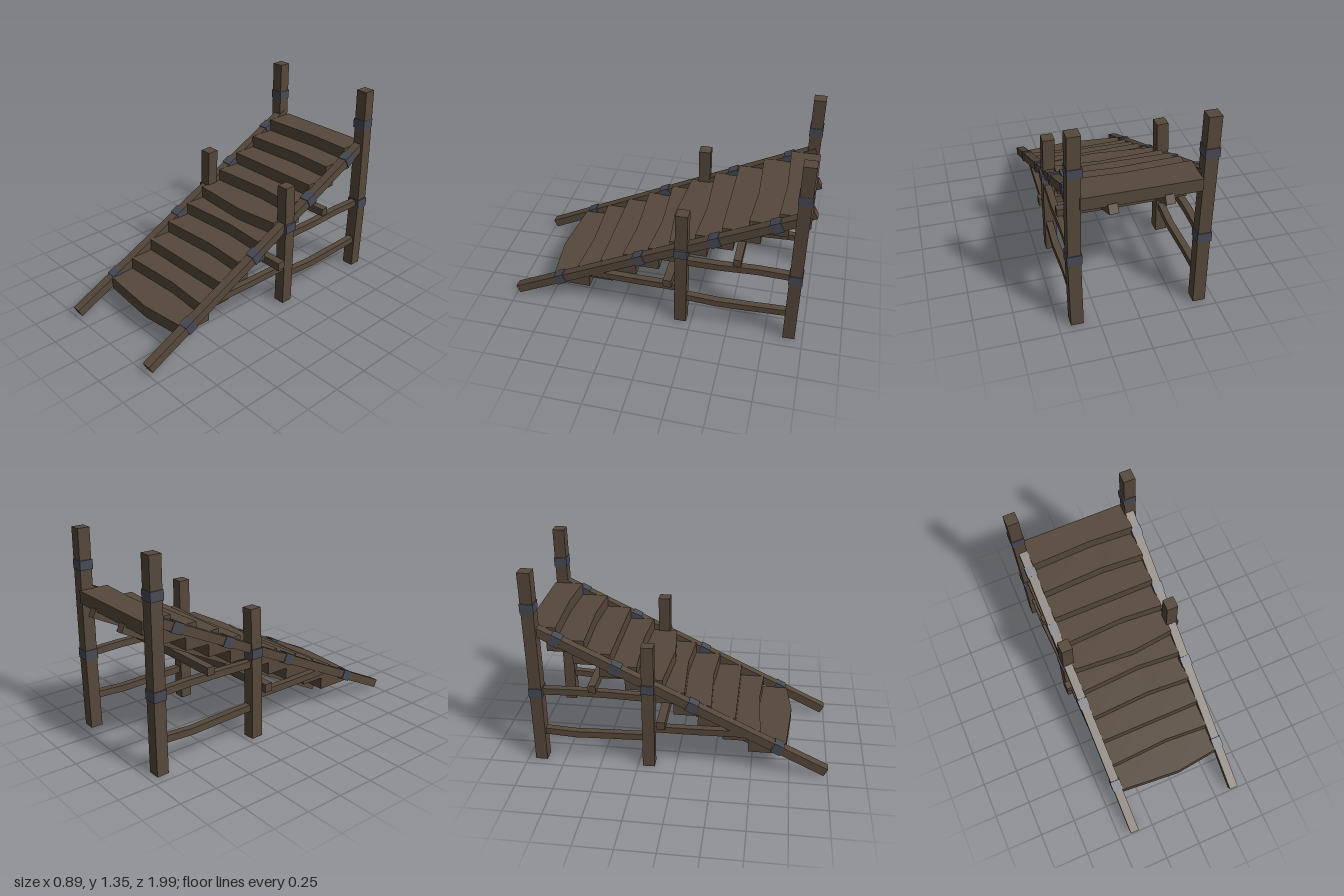
import * as THREE from 'three';

export function createModel() {
  const model = new THREE.Group();
  const wood = new THREE.MeshStandardMaterial({ color: 0x56483b });
  wood.name = 'dark wood';
  const iron = new THREE.MeshStandardMaterial({ color: 0x484a55 });
  iron.name = 'iron';

  const add = (name, geometry, material) => {
    const flat = geometry.toNonIndexed();
    flat.computeVertexNormals(); // faceted look
    const mesh = new THREE.Mesh(flat, material);
    mesh.name = name;
    model.add(mesh);
    return mesh;
  };

  // Square timber from a to b; bend lists the [x, y] offsets of its inner sections
  const beam = (name, a, b, w, h, bend = [], material = wood) => {
    const start = new THREE.Vector3(...a), end = new THREE.Vector3(...b);
    const length = start.distanceTo(end), n = bend.length + 1;
    const geo = new THREE.BoxGeometry(w, h, length, 1, 1, n);
    const p = geo.attributes.position;
    for (let i = 0; i < p.count; i++) {
      const k = Math.round((p.getZ(i) / length + 0.5) * n);
      if (k > 0 && k < n) p.setXY(i, p.getX(i) + bend[k - 1][0], p.getY(i) + bend[k - 1][1]);
    }
    const mesh = add(name, geo, material);
    mesh.position.copy(start).add(end).multiplyScalar(0.5);
    mesh.quaternion.setFromUnitVectors(new THREE.Vector3(0, 0, 1), end.sub(start).normalize());
  };

  const band = (name, x, y, z, sx, sy, sz, tilt = 0) => {
    const mesh = add(name, new THREE.BoxGeometry(sx, sy, sz), iron);
    mesh.position.set(x, y, z);
    mesh.rotation.x = tilt;
  };

  // Treads: front edge at the sides and in the middle
  const edges = [
    [0.72, 0.755], [0.55, 0.53], [0.385, 0.385], [0.227, 0.207], [0.053, 0.03],
    [-0.09, -0.058], [-0.255, -0.276], [-0.422, -0.422], [-0.587, -0.605], [-0.765, -0.78],
  ];
  edges.forEach(([side, middle], i) => {
    const geo = new THREE.BoxGeometry(0.72, 0.084, 1, 2, 1, 1);
    const p = geo.attributes.position;
    for (let k = 0; k < p.count; k++) {
      const inner = Math.abs(p.getX(k)) < 0.01;
      const front = inner ? middle : side;
      const back = i === 9 ? -0.96 : side - 0.245;
      p.setZ(k, p.getZ(k) > 0 ? front : back);
      if (inner) p.setX(k, 0.06);
    }
    add('tread' + (i + 1), geo, wood).position.y = 0.163 + i * 0.0833;
  });

  // Side rails and their iron bands
  const slope = 0.487, tilt = Math.atan(slope);
  const railY = z => 0.035 + (0.988 - z) * slope;
  for (const s of [-1, 1]) {
    const side = s > 0 ? 'left' : 'right', x = s * 0.387;
    beam(side + 'Rail', [x, railY(0.988), 0.988], [x, railY(-0.93), -0.93], 0.06, 0.058);
    for (const z of [0.665, 0.105, -0.39, -0.762])
      band(side + 'RailBand', x, railY(z), z, 0.07, 0.07, 0.07, tilt);

    // Posts, slightly crooked
    const rearX = s > 0 ? 0.386 : -0.403;
    beam(side + 'RearPost', [rearX, 0, -0.91], [rearX, 1.35, -0.91], 0.08, 0.08,
      [[s > 0 ? 0.01 : 0.004, 0], [s > 0 ? 0.008 : 0.002, 0]]);
    band(side + 'RearPostBand', rearX, 1.115, -0.91, 0.09, 0.062, 0.088);
    band(side + 'RearPostBand', rearX + (s > 0 ? 0.01 : 0.003), 0.513, -0.91, 0.092, 0.065, 0.088);
    const midX = s > 0 ? 0.387 : -0.4, topX = s > 0 ? 0.38 : -0.375;
    beam(side + 'MiddlePost', [midX, 0, -0.178], [topX, 0.875, -0.178], 0.078, 0.08, [[s * 0.006, 0]]);
    band(side + 'MiddlePostBand', s * 0.392, 0.583, -0.178, 0.09, 0.062, 0.088);

    // Horizontal side braces
    const bx = s * 0.395;
    beam(side + 'UpperBrace', [bx, 0.512, -0.18], [bx, 0.515, -0.91], 0.045, 0.045,
      [[0.006, -0.003], [0, -0.008]]);
    beam(side + 'LowerBrace', [bx, 0.213, -0.18], [bx, 0.213, -0.91], 0.045, 0.045,
      [[-0.006, -0.01], [0.004, -0.012]]);
    beam(side + 'FrontBrace', [bx, 0.282, -0.18], [s * 0.387, 0.285, 0.46], 0.045, 0.045, [[0, -0.003]]);

    // Bearers under the treads
    beam(side + 'Bearer', [s > 0 ? 0.152 : -0.181, 0.068, 0.555],
      [s > 0 ? 0.175 : -0.158, 0.865, -0.98], 0.056, 0.058);
  }

  // Cross bars resting on the braces
  beam('rearCrossBar', [-0.43, 0.563, -0.538], [0.412, 0.563, -0.538], 0.05, 0.054);
  beam('frontCrossBar', [-0.447, 0.33, -0.092], [0.444, 0.33, -0.092], 0.056, 0.056);

  return model;
}
